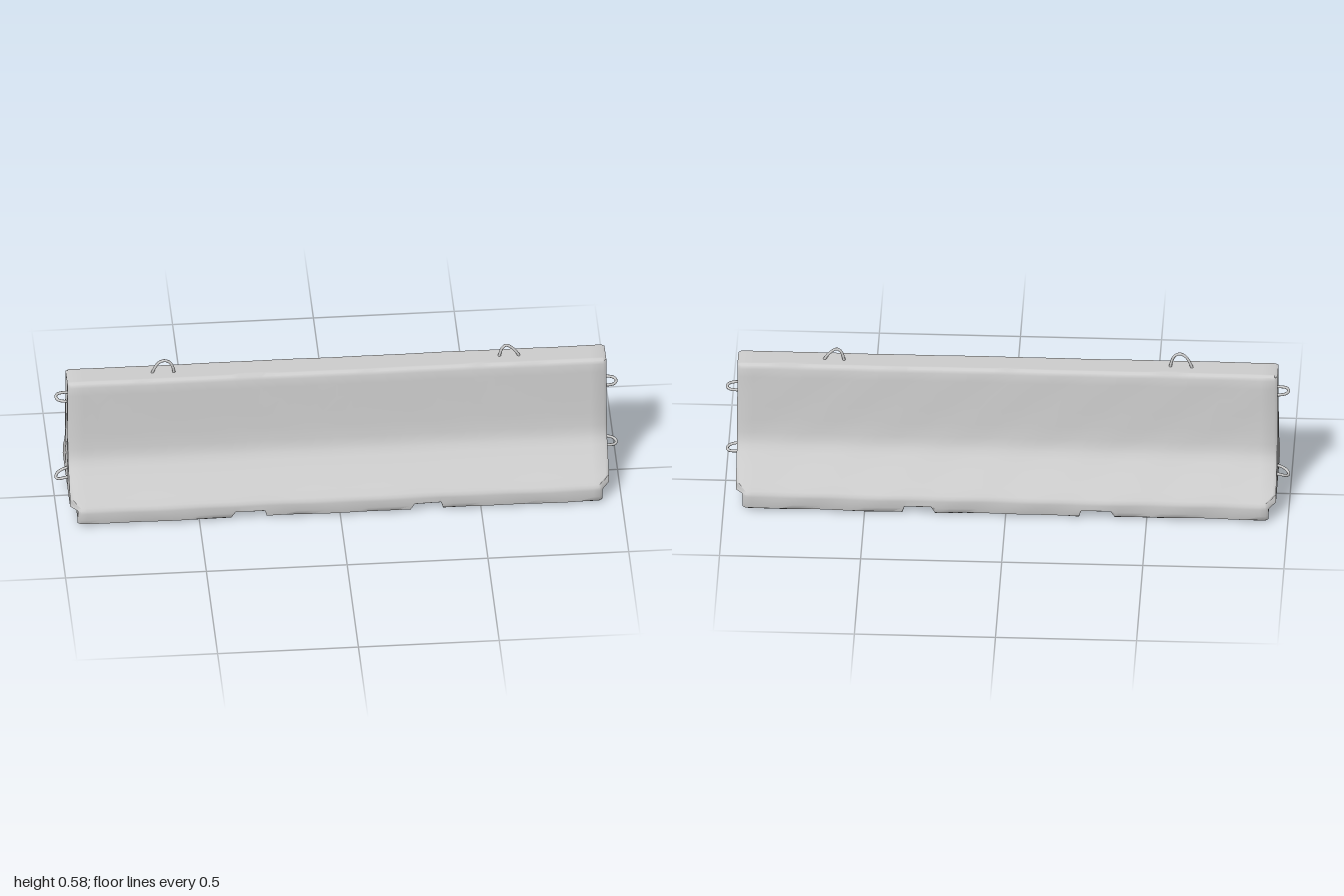
import * as THREE from 'three';
import { toCreasedNormals } from 'three/addons/utils/BufferGeometryUtils.js';

const material = new THREE.MeshStandardMaterial({ color: 0xcccccc });

// Half width of the wall at each height: [y, halfWidth]
const PROFILE = [
  [0.004, 0.184], [0.012, 0.196], [0.03, 0.2], [0.058, 0.201], [0.068, 0.2], [0.078, 0.193],
  [0.1, 0.172], [0.15, 0.128], [0.185, 0.098], [0.205, 0.084], [0.225, 0.076], [0.25, 0.071],
  [0.3, 0.066], [0.36, 0.062], [0.42, 0.058], [0.47, 0.055], [0.502, 0.053], [0.514, 0.049], [0.52, 0.041],
];
// Positions across the wall, as a fraction of the half width
const ACROSS = [-1, -0.85, -0.7, -0.55, -0.42, -0.3, -0.15, 0, 0.15, 0.3, 0.42, 0.55, 0.7, 0.85, 1];
// Drainage notches in the underside: [start, end]
const NOTCHES = [[-0.372, -0.268], [0.264, 0.358]];

const smooth = THREE.MathUtils.smoothstep;

// Gentle unevenness of cast concrete
function wobble(x, y, k) {
  return 0.0014 * (Math.sin(x * 9 + k) + Math.sin(x * 23 + y * 31 + k * 2) * 0.7);
}

// Stations along the wall: even spacing plus tight pairs at notch edges and ends
function makeStations() {
  const list = [];
  for (let i = -18; i <= 18; i++) list.push(i * 0.05);
  for (const [a, b] of NOTCHES) list.push(a - 0.014, a, b, b + 0.008);
  list.push(-2, -1, 1, 2); // 1 = just before the end, 2 = the end face
  return list.sort((a, b) => a - b);
}

// Half length: the foot is set back, and each end has a shallow upright channel
function endX(y, z) {
  let x = y < 0.063 ? 0.93 : 0.957;
  if (y < 0.09 && Math.abs(z) > 0.175) x = 0.932;
  const channel = (1 - smooth(Math.abs(z), 0.014, 0.034)) * smooth(y, 0.07, 0.1) * (1 - smooth(y, 0.47, 0.512));
  return x - 0.02 * channel;
}

// A gridded box whose vertices are moved onto the barrier shape
function barrierGeometry() {
  const stations = makeStations();
  const nx = stations.length - 1, ny = PROFILE.length - 1, nz = ACROSS.length - 1;
  const geo = new THREE.BoxGeometry(1, 1, 1, nx, ny, nz);
  const pos = geo.attributes.position;
  for (let i = 0; i < pos.count; i++) {
    const s = stations[Math.round((pos.getX(i) + 0.5) * nx)];
    const row = Math.round((pos.getY(i) + 0.5) * ny);
    const f = ACROSS[Math.round((pos.getZ(i) + 0.5) * nz)];
    let [y, w] = PROFILE[row];
    let x = s;
    const end = Math.abs(s) >= 1;
    if (end) {
      const last = Math.abs(s) === 2;
      if (last) w -= 0.009;
      x = Math.sign(s) * (endX(y, f * w) - (last ? 0 : 0.011));
      if (last && row === ny) y -= 0.006;
      if (last && row === 0) y += 0.006;
    }
    let z = f * w;
    z += f * wobble(x, y, f > 0 ? 1 : 4) * (y < 0.1 ? 1.4 : 0.6);
    if (row === 0) y += wobble(x, z * 3, 2);
    // lift the lowest rows over each notch
    for (const [a, b] of NOTCHES) {
      if (x > a - 0.001 && x < b + 0.001) y = Math.max(y, 0.031 + row * 0.003);
    }
    pos.setXYZ(i, x, Math.max(y, 0), z);
  }
  return toCreasedNormals(geo, 0.75);
}

// Bent steel bar through a few points
function bar(name, points) {
  const curve = new THREE.CatmullRomCurve3(points.map((p) => new THREE.Vector3(...p)));
  const mesh = new THREE.Mesh(new THREE.TubeGeometry(curve, 24, 0.0052, 8), material);
  mesh.name = name;
  return mesh;
}

// U-shaped coupling loop sticking out of an end
function endLoop(name, side, y, droop, zMid) {
  return bar(name, [
    [0.925, y, -0.026], [0.965, y - droop * 0.4, -0.027], [0.987, y - droop * 0.8, -0.019],
    [0.995, y - droop, 0], [0.987, y - droop * 0.8, 0.019], [0.965, y - droop * 0.4, 0.027], [0.925, y, 0.026],
  ].map(([x, py, z]) => [side * x, py, z + zMid]));
}

export function createModel() {
  const model = new THREE.Group();
  model.name = 'roadBarrier';

  const body = new THREE.Mesh(barrierGeometry(), material);
  body.name = 'concreteBody';
  model.add(body);

  // Lifting loops on top
  model.add(bar('liftingLoopRight', [
    [-0.658, 0.5, 0], [-0.646, 0.535, 0.001], [-0.63, 0.562, 0.003], [-0.61, 0.572, 0.005],
    [-0.59, 0.563, 0.005], [-0.578, 0.535, 0.004], [-0.574, 0.5, 0.004],
  ]));
  model.add(bar('liftingLoopLeft', [
    [0.578, 0.5, -0.003], [0.583, 0.53, -0.003], [0.593, 0.556, -0.003], [0.607, 0.564, -0.003],
    [0.626, 0.552, -0.002], [0.644, 0.53, -0.001], [0.658, 0.5, 0],
  ]));

  // Coupling loops at the ends
  model.add(endLoop('upperEndLoopLeft', 1, 0.396, 0.002, 0.005));
  model.add(endLoop('lowerEndLoopLeft', 1, 0.14, 0.008, 0.009));
  model.add(endLoop('upperEndLoopRight', -1, 0.43, -0.002, 0));
  model.add(endLoop('lowerEndLoopRight', -1, 0.108, 0.024, 0));
  return model;
}
